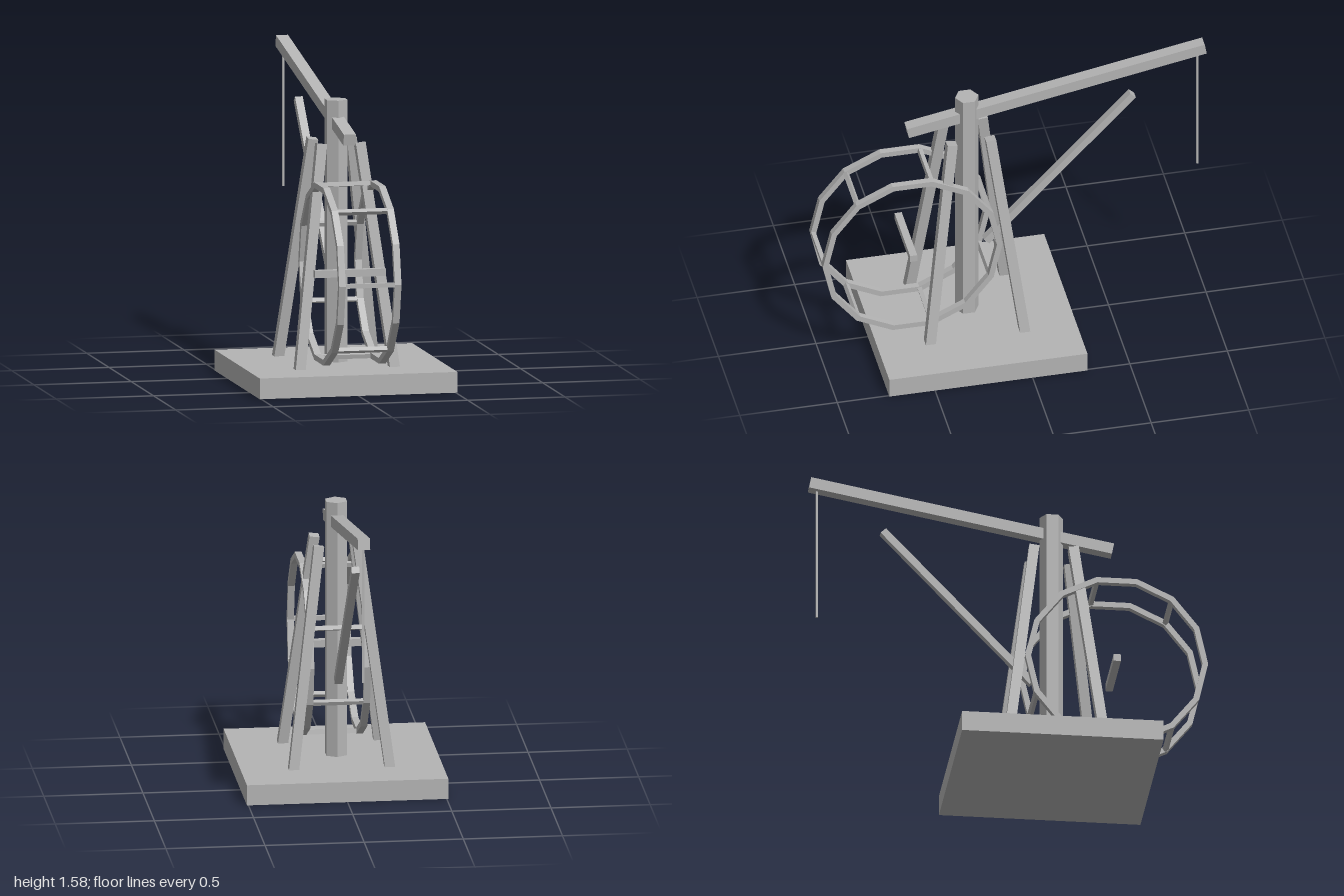
import * as THREE from 'three';

export function createModel() {
  const model = new THREE.Group();
  model.name = 'treadwheelCrane';
  const grey = new THREE.MeshStandardMaterial({ color: 0xb4b4b4 });
  grey.name = 'plain grey';

  const add = (parent, name, geometry, x = 0, y = 0, z = 0) => {
    const mesh = new THREE.Mesh(geometry, grey);
    mesh.name = name;
    mesh.position.set(x, y, z);
    parent.add(mesh);
    return mesh;
  };

  // square timber running between two points
  const beam = (parent, name, from, to, width, depth = width) => {
    const a = new THREE.Vector3(...from), b = new THREE.Vector3(...to);
    const dir = b.clone().sub(a);
    const mesh = add(parent, name, new THREE.BoxGeometry(width, dir.length(), depth));
    mesh.position.copy(a).add(b).multiplyScalar(0.5);
    mesh.quaternion.setFromUnitVectors(new THREE.Vector3(0, 1, 0), dir.normalize());
    return mesh;
  };

  const postZ = 0.227;

  // base slab and hexagonal mast
  add(model, 'base', new THREE.BoxGeometry(1.016, 0.105, 1.016), 0, 0.0525, postZ);
  const mast = new THREE.CylinderGeometry(0.06, 0.06, 1.34, 6).toNonIndexed();
  mast.computeVertexNormals();
  add(model, 'mast', mast, 0, 0.76, postZ);

  // four legs leaning in towards the mast
  for (const sx of [-1, 1]) {
    for (const sz of [-1, 1]) {
      beam(model, 'leg', [sx * 0.245, 0.08, postZ + sz * 0.245],
        [sx * 0.099, 1.222, postZ + sz * 0.099], 0.051);
    }
  }

  // jib, loose brace and hanging rope
  beam(model, 'jib', [0, 1.267, 0.535], [0, 1.552, -0.992], 0.062, 0.058);
  beam(model, 'brace', [0, 0.515, 0.13], [0, 1.311, -0.622], 0.04, 0.038);
  add(model, 'rope', new THREE.BoxGeometry(0.011, 0.72, 0.011), 0, 1.18, -0.955);

  // treadwheel: two fourteen-sided rims, rungs at every other corner, axle
  const wheel = new THREE.Group();
  wheel.name = 'treadwheel';
  wheel.position.set(0, 0.595, 0.539);
  model.add(wheel);

  const sides = 14;
  const polygon = (radius) => Array.from({ length: sides }, (_, i) => {
    const a = (i / sides) * Math.PI * 2;
    return new THREE.Vector2(Math.cos(a) * radius, Math.sin(a) * radius);
  });
  const rimShape = new THREE.Shape(polygon(0.461));
  rimShape.holes.push(new THREE.Path(polygon(0.432)));
  const rimGeometry = new THREE.ExtrudeGeometry(rimShape, { depth: 0.034, bevelEnabled: false });
  rimGeometry.translate(0, 0, -0.017);
  rimGeometry.rotateY(Math.PI / 2);
  for (const s of [-1, 1]) add(wheel, 'rim', rimGeometry, s * 0.143);

  const rungGeometry = new THREE.BoxGeometry(0.29, 0.022, 0.022);
  for (let k = 0; k < sides; k += 2) {
    const a = (k / sides) * Math.PI * 2;
    const rung = add(wheel, 'rung', rungGeometry, 0, Math.sin(a) * 0.447, Math.cos(a) * 0.447);
    rung.rotation.x = -a;
  }
  add(wheel, 'axle', new THREE.BoxGeometry(0.365, 0.037, 0.037));

  return model;
}
